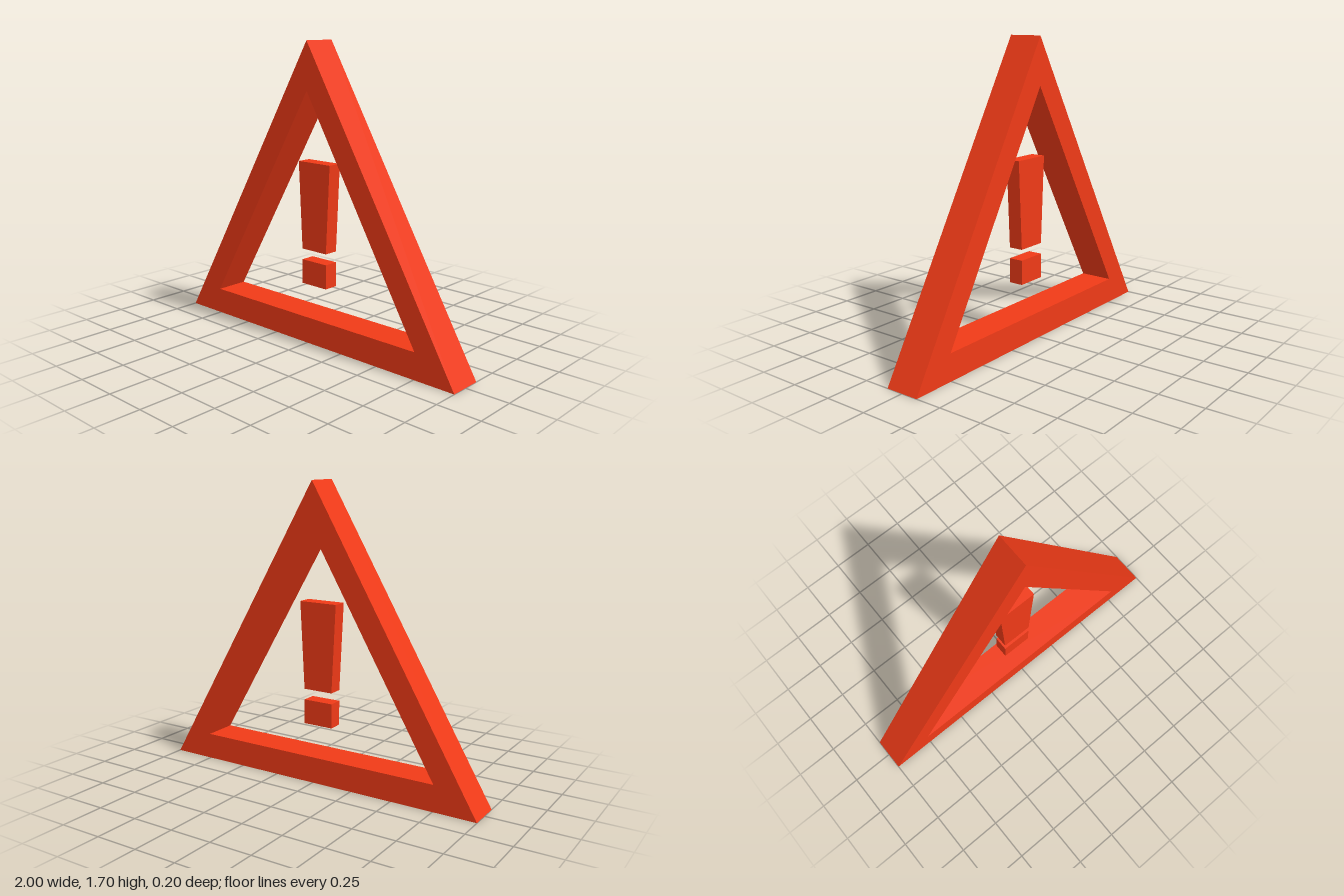
import * as THREE from 'three';

const material = new THREE.MeshStandardMaterial({ color: 0xf03a17, flatShading: true });

const points = (list) => list.map(([x, y]) => new THREE.Vector2(x, y));

// Flat outline extruded to a given depth, centred on z = 0
function slab(name, outline, depth, hole) {
  const shape = new THREE.Shape(points(outline));
  if (hole) shape.holes.push(new THREE.Path(points(hole)));
  const geometry = new THREE.ExtrudeGeometry(shape, { depth, bevelEnabled: false });
  geometry.translate(0, 0, -depth / 2);
  const mesh = new THREE.Mesh(geometry, material);
  mesh.name = name;
  return mesh;
}

export function createModel() {
  const group = new THREE.Group();
  group.name = 'warningTriangle';
  const markDepth = 0.084;

  // Triangular frame with a triangular opening
  group.add(slab('triangleFrame',
    [[-1, 0], [1, 0], [0, 1.698]], 0.198,
    [[-0.752, 0.152], [0, 1.43], [0.752, 0.152]]));

  // Tapered bar of the exclamation mark
  group.add(slab('exclamationBar',
    [[-0.09, 0.527], [0.09, 0.527], [0.116, 1.03], [-0.116, 1.03]], markDepth));

  // Square dot below the bar
  group.add(slab('exclamationDot',
    [[-0.09, 0.323], [0.09, 0.323], [0.09, 0.464], [-0.09, 0.464]], markDepth));

  return group;
}
